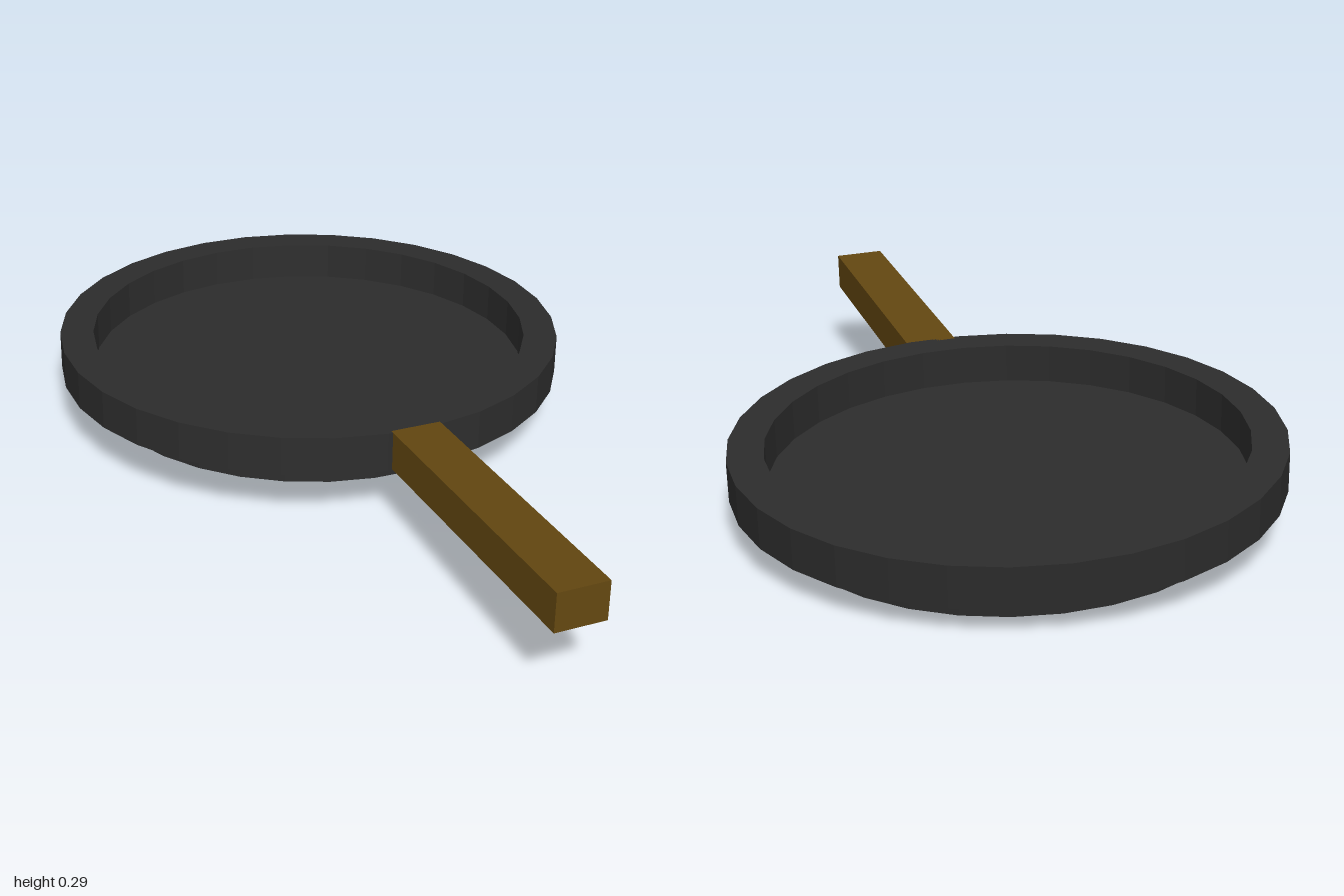
import * as THREE from 'three';

const SIDES = 32;

export function createModel() {
  const model = new THREE.Group();
  model.name = 'fryingPan';

  const iron = new THREE.MeshStandardMaterial({ color: 0x2c2c2c, flatShading: true });
  const wood = new THREE.MeshStandardMaterial({ color: 0x624610, flatShading: true });

  // The whole pan leans slightly towards the back
  const pan = new THREE.Group();
  pan.name = 'tiltedPan';
  pan.position.set(0, 0.11, -0.34);
  pan.rotation.set(-0.068, 0, -0.008);
  model.add(pan);

  const lathe = (name, points) => {
    const profile = points.map(([r, y]) => new THREE.Vector2(r, y));
    const mesh = new THREE.Mesh(new THREE.LatheGeometry(profile, SIDES), iron);
    mesh.name = name;
    mesh.rotation.y = Math.PI / SIDES;
    pan.add(mesh);
  };

  // Solid base disc, whose top is the cooking surface
  lathe('base', [[0, -0.067], [0.57, -0.067], [0.57, 0], [0.575, 0.001], [0, 0.001]]);

  // Thick raised rim
  lathe('rim', [[0.57, 0], [0.66, 0], [0.66, 0.1], [0.573, 0.1], [0.573, 0]]);

  // Straight wooden handle, pointing out from the centre of the pan
  const start = 0.645, end = 1.425;
  const bar = new THREE.BoxGeometry(0.13, 0.098, end - start);
  bar.translate(0, 0.051, (start + end) / 2);
  const handle = new THREE.Mesh(bar, wood);
  handle.name = 'handle';
  handle.rotation.y = THREE.MathUtils.degToRad(23.6);
  pan.add(handle);

  return model;
}
